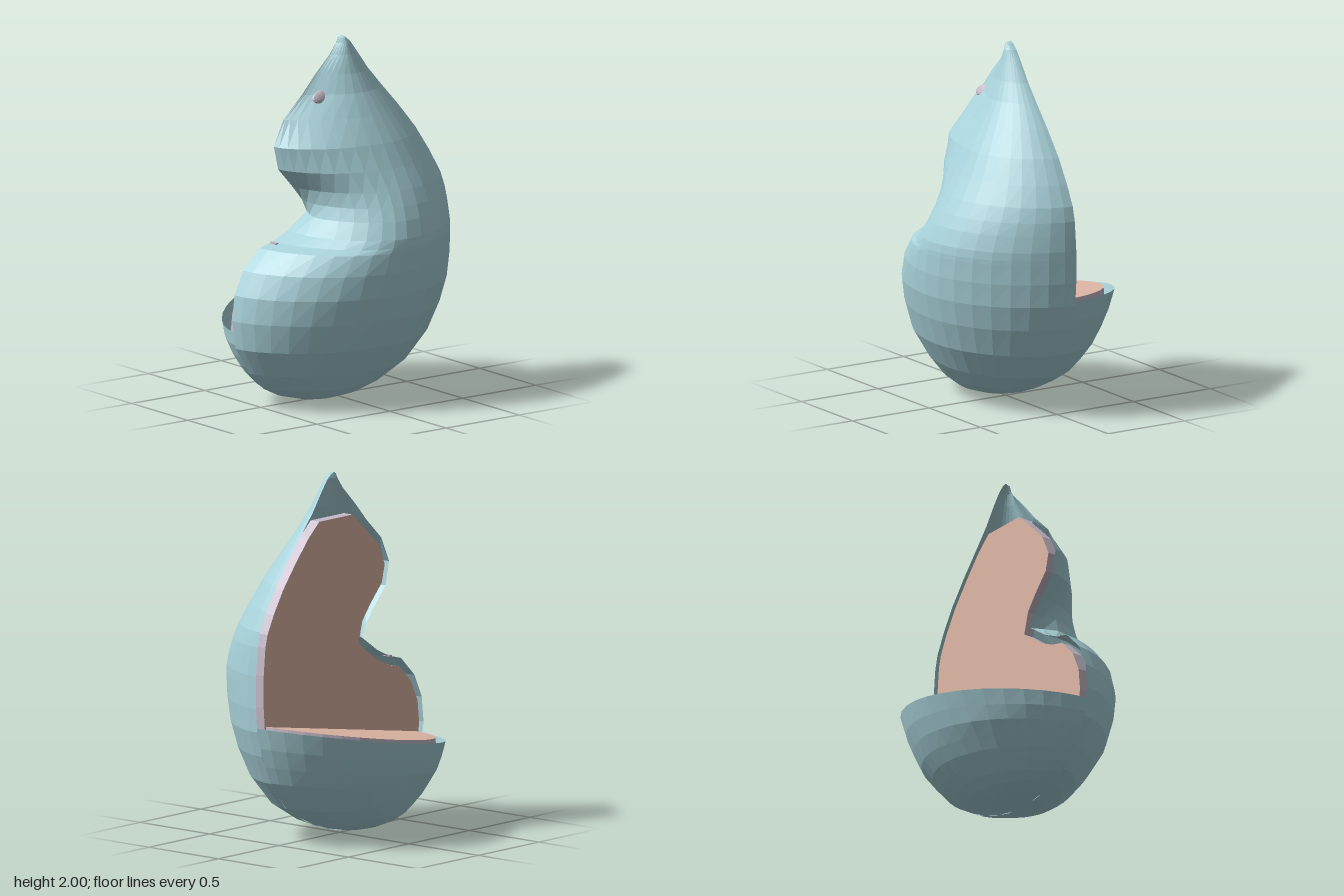
import * as THREE from 'three';

// Profile rows: height, left-hand x, right-hand x, ridge x, depth
const ROWS = [
  [0, -0.12, -0.12, -0.12, 0], [0.015, -0.25, 0.02, -0.11, 0.1], [0.05, -0.38, 0.15, -0.09, 0.2],
  [0.1, -0.48, 0.28, -0.06, 0.27], [0.2, -0.58, 0.45, -0.02, 0.355], [0.35, -0.67, 0.57, 0, 0.45],
  [0.51, -0.695, 0.64, 0.02, 0.51], [0.65, -0.68, 0.68, 0.03, 0.545], [0.78, -0.62, 0.69, 0.05, 0.558],
  [0.89, -0.51, 0.69, 0.07, 0.558], [0.915, -0.42, 0.69, 0.075, 0.557], [0.96, -0.345, 0.69, 0.08, 0.55],
  [1.05, -0.285, 0.682, 0.1, 0.515], [1.12, -0.265, 0.675, 0.11, 0.48], [1.2, -0.285, 0.655, 0.12, 0.435],
  [1.31, -0.38, 0.6, 0.12, 0.37], [1.44, -0.41, 0.52, 0.11, 0.3], [1.58, -0.345, 0.41, 0.1, 0.215],
  [1.7, -0.22, 0.305, 0.09, 0.145], [1.8, -0.13, 0.22, 0.08, 0.1], [1.9, -0.03, 0.15, 0.065, 0.065],
  [1.96, 0.015, 0.105, 0.058, 0.048], [1.99, 0.03, 0.07, 0.05, 0.035], [2, 0.045, 0.045, 0.045, 0],
];
const SEG = 18;       // facets per half turn
const GAP = 0.05;     // groove between the skin and the slab inside it
const PROUD = 0.012;  // how far the slab stands out of the cut

const mat = (color) => new THREE.MeshStandardMaterial({ color, flatShading: true, side: THREE.DoubleSide });
const skin = mat(0xa9d3db), lining = mat(0xc8bccb), flesh = mat(0xe0b8a6);

function rowAt(y) {
  let i = 1;
  while (i < ROWS.length - 1 && ROWS[i][0] < y) i++;
  const a = ROWS[i - 1], b = ROWS[i];
  const t = (y - a[0]) / (b[0] - a[0]);
  return a.map((v, k) => v + (b[k] - v) * t);
}

// Point on the body at height y and angle t: two half-curves meeting at the ridge
function bodyPoint(y, t) {
  const [, l, r, ridge, depth] = rowAt(y);
  const c = Math.cos(t), s = Math.sin(t);
  // the shoulder thins out towards its edge, and the notch cuts deeper at the back
  const power = c < 0 ? 1.2 + 1.6 * THREE.MathUtils.smoothstep(y, 1.45, 1.7) : 1.2;
  const notch = 0.1 * Math.exp(-(((y - 1.05) / 0.08) ** 2)) * Math.max(0, -c) ** 30;
  const x = ridge + (c < 0 ? ridge - l : r - ridge) * c + notch;
  const z = s < 0 ? -1.05 : 1;
  return new THREE.Vector3(x, y, z * depth * Math.abs(s) ** power);
}

// Height of the tilted lower cut where it meets the body at angle t
const cutY = (x) => 0.56 + 0.165 * x;
function rimPoint(t) {
  let y = 0.57;
  for (let i = 0; i < 12; i++) y = cutY(bodyPoint(y, t).x);
  return bodyPoint(y, t);
}

// Skin a list of equal-length loops of points
function loft(loops) {
  const n = loops[0].length, index = [];
  for (let j = 0; j < loops.length - 1; j++) {
    for (let i = 0; i < n - 1; i++) {
      const a = j * n + i, b = a + n;
      index.push(a, b, a + 1, a + 1, b, b + 1);
    }
  }
  const g = new THREE.BufferGeometry().setFromPoints(loops.flat());
  g.setIndex(index);
  const flat = g.toNonIndexed();
  flat.computeVertexNormals();
  return flat;
}

export function createModel() {
  const group = new THREE.Group();
  const add = (name, geometry, material) => {
    const m = new THREE.Mesh(geometry, material);
    m.name = name;
    group.add(m);
    return m;
  };
  const angles = (start) => Array.from({ length: SEG + 1 }, (_, i) => start + Math.PI * i / SEG);

  // Whole front half
  add('frontBody', loft(ROWS.map(([y]) => angles(0).map((t) => bodyPoint(y, t)))), skin);

  // Lower back half, ending at the tilted cut
  const back = angles(Math.PI);
  const rim = back.map(rimPoint);
  const bowl = [];
  for (let j = 0; j <= 10; j++) {
    const v = (j / 10) ** 1.8;
    bowl.push(back.map((t, i) => bodyPoint(rim[i].y * v, t)));
  }
  add('backBowl', loft(bowl), skin);

  // Slab filling the lower cut, its side dropping into the bowl
  const inset = (w, rise) => rim.map((p) => {
    const x = p.x * (1 - w / 0.68);
    return new THREE.Vector3(x, cutY(x) + rise, p.z * (1 - w / 0.56));
  });
  const floor = inset(GAP * 1.2, PROUD);
  const centre = new THREE.Vector3(0, cutY(0) + PROUD, 0);
  add('bowlLining', loft([inset(GAP, -0.1), floor]), lining);
  add('bowlFloor', loft([floor, floor.map(() => centre)]), flesh);

  // Upright slab: the body outline offset inwards, rounded off below the peak
  const outline = [
    ...ROWS.map(([y, , r]) => new THREE.Vector2(r, y)),
    ...ROWS.slice(1, -1).reverse().map(([y]) => new THREE.Vector2(bodyPoint(y, Math.PI).x, y)),
  ];
  const opening = outline.map((p, i) => {
    const n = outline.length;
    const d = outline[(i + 1) % n].clone().sub(outline[(i + n - 1) % n]).normalize();
    return new THREE.Vector2(p.x - d.y * GAP, Math.min(p.y + d.x * GAP, 1.745));
  }).filter((p, i) => outline[i].y < 1.85);
  const at = (z) => [...opening, opening[0]].map((p) => new THREE.Vector3(p.x, p.y, z));
  add('cutLining', loft([at(-PROUD), at(0.05)]), lining);
  add('cutFace', new THREE.ShapeGeometry(new THREE.Shape(opening)), flesh).position.z = -PROUD;

  // Small pale patches on the shoulder and in the notch
  const spot = add('shoulderPatch', new THREE.SphereGeometry(1, 12, 8), lining);
  spot.scale.set(0.065, 0.035, 0.015);
  spot.position.set(-0.13, 1.69, 0.058);
  spot.rotation.set(-0.5, 0, 0.2);
  const slit = add('notchPatch', new THREE.BoxGeometry(0.02, 0.008, 0.05), lining);
  slit.position.set(-0.43, 0.912, 0.03);

  return group;
}
